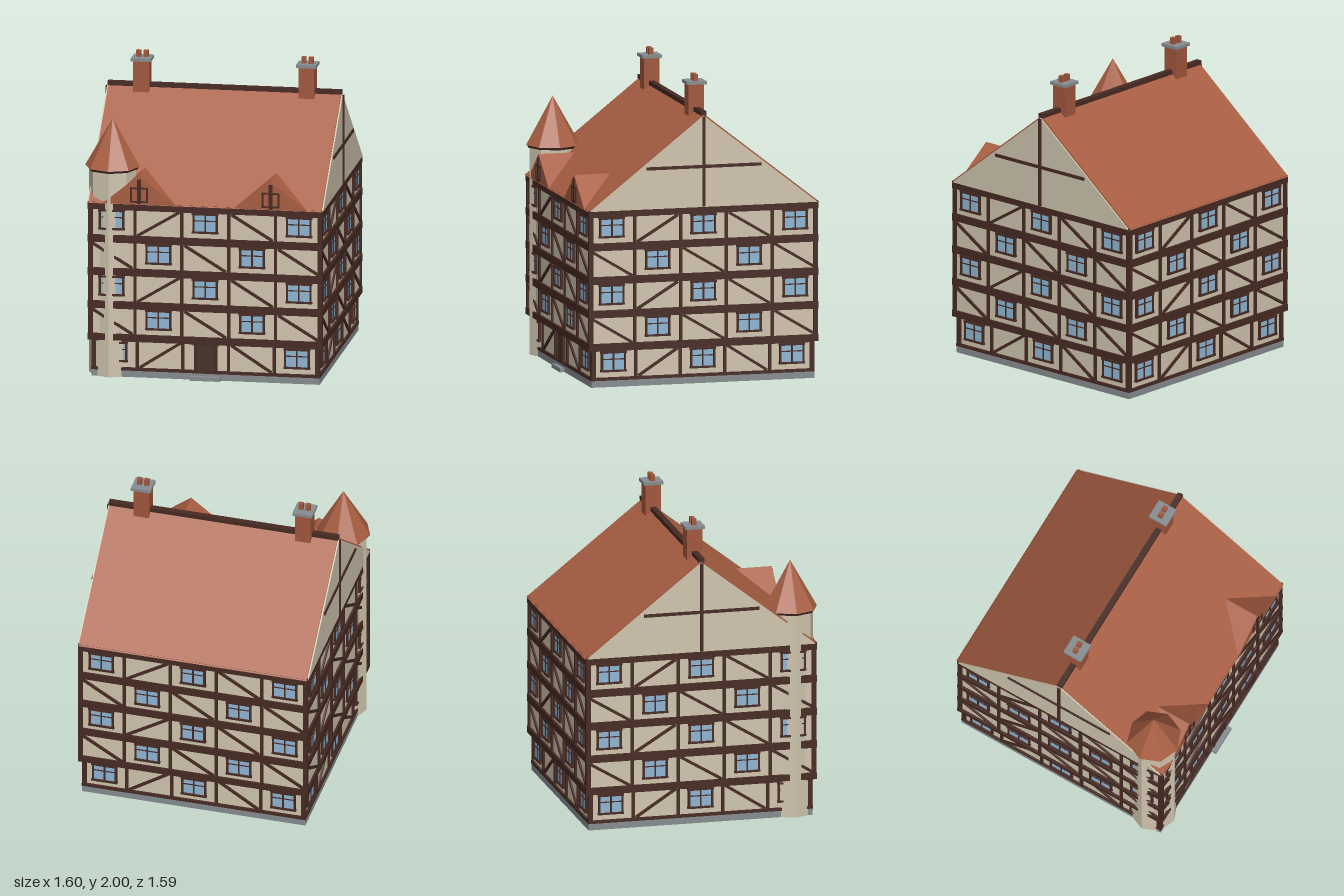
import * as THREE from 'three';

const mat = (name, color, flat = false) => {
  const m = new THREE.MeshStandardMaterial({ color, flatShading: flat });
  m.name = name;
  return m;
};

export function createModel() {
  const plaster = mat('plaster', 0xd0c5ae, true);
  const timber = mat('timber', 0x472a23);
  const tile = mat('roofTile', 0xa85e42, true);
  const brick = mat('brick', 0xa1573c);
  const stone = mat('stone', 0x868c90);
  const glass = mat('glass', 0x8fb6d4);
  const doorWood = mat('doorWood', 0x45312a);

  const model = new THREE.Group();
  model.name = 'timberFramedHouse';
  const house = new THREE.Group();
  house.name = 'house';
  house.position.set(0.012, 0, -0.008);
  model.add(house);

  const add = (parent, name, geo, material, x = 0, y = 0, z = 0) => {
    const mesh = new THREE.Mesh(geo, material);
    mesh.name = name;
    mesh.position.set(x, y, z);
    parent.add(mesh);
    return mesh;
  };
  const box = (parent, name, material, w, h, d, x, y, z) =>
    add(parent, name, new THREE.BoxGeometry(w, h, d), material, x, y, z);
  // Square slab around the whole house between two heights
  const slab = (name, material, half, y0, y1) =>
    box(house, name, material, half * 2, y1 - y0, half * 2, 0, (y0 + y1) / 2, 0);
  // Triangular prism along z, centred on z
  const prism = (halfWidth, height, depth) => {
    const s = new THREE.Shape();
    s.moveTo(-halfWidth, 0);
    s.lineTo(halfWidth, 0);
    s.lineTo(0, height);
    s.closePath();
    return new THREE.ExtrudeGeometry(s, { depth, bevelEnabled: false }).translate(0, 0, -depth / 2);
  };

  // Plinth, walls and the horizontal timbers
  slab('plinth', stone, 0.75, 0, 0.043);
  slab('groundWalls', plaster, 0.738, 0.043, 0.25);
  slab('groundSill', timber, 0.752, 0.043, 0.063);
  slab('groundPlate', timber, 0.752, 0.236, 0.25);
  slab('upperWalls', plaster, 0.757, 0.26, 1.15);
  const levels = [0.04, 0.265, 0.483, 0.704, 0.924, 1.143];
  levels.slice(1).forEach((y, i) =>
    slab('floorBeam', timber, 0.772, y - (i ? 0.025 : 0.019), y + 0.024));

  function addWindow(parent, x, y, z) {
    const g = new THREE.Group();
    g.name = 'window';
    g.position.set(x, y, z);
    parent.add(g);
    box(g, 'pane', glass, 0.15, 0.115, 0.008, 0, 0, 0.004);
    for (const s of [-1, 1]) {
      box(g, 'jamb', timber, 0.013, 0.125, 0.018, s * 0.077, 0, 0.007);
      box(g, 'rail', timber, 0.174, 0.013, 0.02, 0, s * 0.061, 0.008);
    }
    box(g, 'mullion', timber, 0.01, 0.12, 0.012, 0, 0, 0.006);
    box(g, 'crossbar', timber, 0.15, 0.007, 0.011, 0, 0.016, 0.0055);
  }

  function addDoor(parent, z) {
    box(parent, 'door', doorWood, 0.13, 0.19, 0.012, 0, 0.138, z + 0.006);
    for (const s of [-1, 1]) box(parent, 'doorPost', timber, 0.014, 0.195, 0.02, s * 0.068, 0.14, z + 0.008);
    box(parent, 'doorLintel', timber, 0.17, 0.016, 0.02, 0, 0.238, z + 0.008);
    box(parent, 'doorStep', stone, 0.2, 0.026, 0.08, 0, 0.013, 0.742);
  }

  // Four facades, each with five bays on five floors
  for (let side = 0; side < 4; side++) {
    const facade = new THREE.Group();
    facade.name = ['frontFacade', 'leftFacade', 'backFacade', 'rightFacade'][side];
    facade.rotation.y = side * Math.PI / 2;
    house.add(facade);
    for (let floor = 0; floor < 5; floor++) {
      const half = floor ? 0.77 : 0.75, wall = floor ? 0.757 : 0.738;
      const y0 = levels[floor] + 0.02, y1 = levels[floor + 1] - 0.022;
      const bay = half * 2 / 5, mid = (y0 + y1) / 2;
      for (let i = 1; i < 5; i++)
        box(facade, 'post', timber, 0.02, y1 - y0, 0.013, -half + i * bay, mid, wall + 0.0065);
      // One square post stands at each corner
      box(facade, 'cornerPost', timber, 0.03, y1 - y0, 0.03, half - 0.015, mid, half - 0.015);
      for (let i = 0; i < 5; i++) {
        const x = (i - 2) * bay;
        if (side === 0 && floor === 0 && i === 2) addDoor(facade, wall);
        else if (i % 2 === floor % 2) addWindow(facade, x, levels[floor] + 0.126, wall);
        else {
          const dx = bay - 0.035, dy = y1 - y0 - 0.012;
          const slope = floor % 2 === 0 && i === 1 ? 1 : -1;
          const brace = box(facade, 'brace', timber, Math.hypot(dx, dy), 0.018, 0.012, x, mid, wall + 0.006);
          brace.rotation.z = slope * Math.atan2(dy, dx);
        }
      }
    }
  }

  // Main roof with gable walls standing just proud of its ends
  add(house, 'mainRoof', prism(0.78, 0.612, 1.532), tile, 0, 1.16, 0).rotation.y = Math.PI / 2;
  add(house, 'gableWalls', prism(0.765, 0.6, 1.55), plaster, 0, 1.16, 0).rotation.y = Math.PI / 2;
  box(house, 'ridgeBeam', timber, 1.54, 0.028, 0.038, 0, 1.774, 0);
  for (const s of [-1, 1]) {
    box(house, 'gablePost', timber, 0.012, 0.59, 0.02, s * 0.778, 1.46, 0);
    box(house, 'gableTie', timber, 0.012, 0.02, 0.77, s * 0.778, 1.427, 0);
  }

  // Chimneys and dormers, one pair each
  for (const s of [-1, 1]) {
    const chimney = new THREE.Group();
    chimney.name = 'chimney';
    chimney.position.x = s * 0.543;
    house.add(chimney);
    box(chimney, 'stack', brick, 0.104, 0.22, 0.104, 0, 1.835, 0);
    box(chimney, 'cap', stone, 0.132, 0.02, 0.132, 0, 1.947, 0);
    for (const p of [-1, 1]) box(chimney, 'pot', brick, 0.03, 0.045, 0.03, p * 0.024, 1.9775, 0);

    const dormer = new THREE.Group();
    dormer.name = 'dormer';
    dormer.position.set(s * 0.432, 1.16, 0.778);
    house.add(dormer);
    add(dormer, 'dormerRoof', prism(0.245, 0.19, 0.36), tile, 0, 0, -0.18);
    box(dormer, 'dormerPost', timber, 0.026, 0.165, 0.008, 0, 0.087, 0.002);
    for (const p of [-1, 1]) {
      box(dormer, 'dormerJamb', timber, 0.012, 0.1, 0.008, p * 0.053, 0.065, 0.002);
      box(dormer, 'dormerRail', timber, 0.118, 0.011, 0.008, 0, 0.065 + p * 0.045, 0.002);
    }
  }

  // Octagonal corner turret
  const turret = new THREE.Group();
  turret.name = 'turret';
  turret.position.set(-0.62, 0, 0.62);
  model.add(turret);
  add(turret, 'turretWall', new THREE.CylinderGeometry(0.155, 0.155, 1.37, 8), plaster, 0, 0.685, 0);
  add(turret, 'turretEave', new THREE.CylinderGeometry(0.172, 0.165, 0.018, 8), timber, 0, 1.37, 0);
  add(turret, 'turretRoof', new THREE.ConeGeometry(0.18, 0.318, 8), tile, 0, 1.537, 0);

  return model;
}
